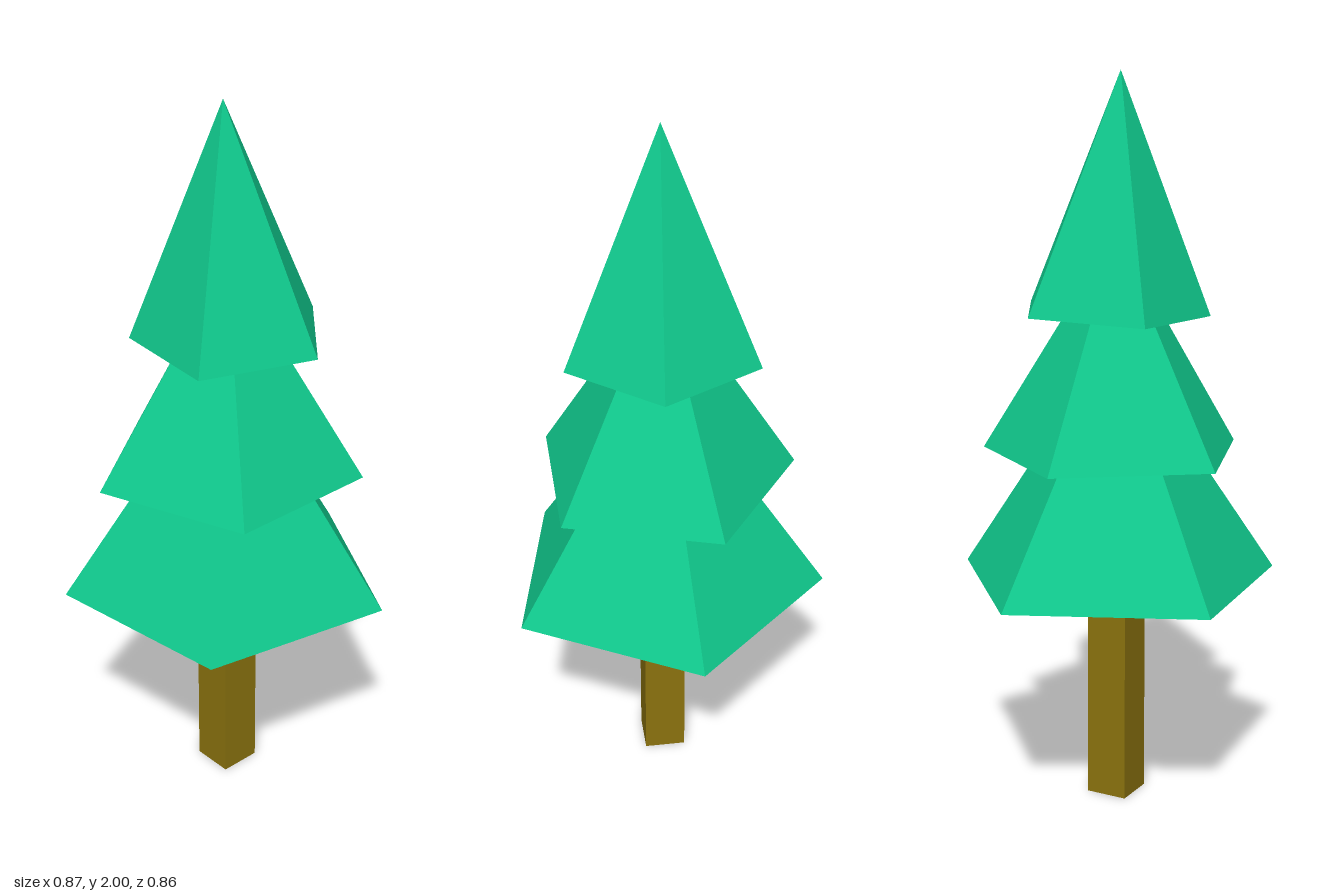
import * as THREE from 'three';

const CENTRE_X = 0.016;
const CENTRE_Z = 0.027;

export function createModel() {
  const tree = new THREE.Group();
  tree.name = 'pineTree';

  const leafMaterial = new THREE.MeshStandardMaterial({ color: 0x10c88c, flatShading: true });
  const barkMaterial = new THREE.MeshStandardMaterial({ color: 0x8b730e, flatShading: true });

  // Square trunk, just reaching into the lowest tier
  const trunk = new THREE.Mesh(new THREE.BoxGeometry(0.117, 0.63, 0.117), barkMaterial);
  trunk.name = 'trunk';
  trunk.position.set(CENTRE_X, 0.315, CENTRE_Z + 0.003);
  tree.add(trunk);

  // Stacked five-sided foliage tiers, each turned; the top one leans slightly forward
  const tiers = [
    { name: 'lowerFoliage', radius: 0.459, height: 0.68, base: 0.625, turn: 42.6, z: CENTRE_Z, lean: 0 },
    { name: 'middleFoliage', radius: 0.371, height: 0.6, base: 0.98, turn: 54.6, z: CENTRE_Z, lean: 0 },
    { name: 'topFoliage', radius: 0.27, height: 0.639, base: 1.362, turn: 29.8, z: 0.011, lean: 0.046 },
  ];
  for (const { name, radius, height, base, turn, z, lean } of tiers) {
    const cone = new THREE.ConeGeometry(radius, height, 5);
    cone.translate(0, height / 2, 0);
    cone.rotateY(THREE.MathUtils.degToRad(turn));
    const tier = new THREE.Mesh(cone, leafMaterial);
    tier.name = name;
    tier.position.set(CENTRE_X, base, z);
    tier.rotation.x = lean;
    tree.add(tier);
  }
  return tree;
}
